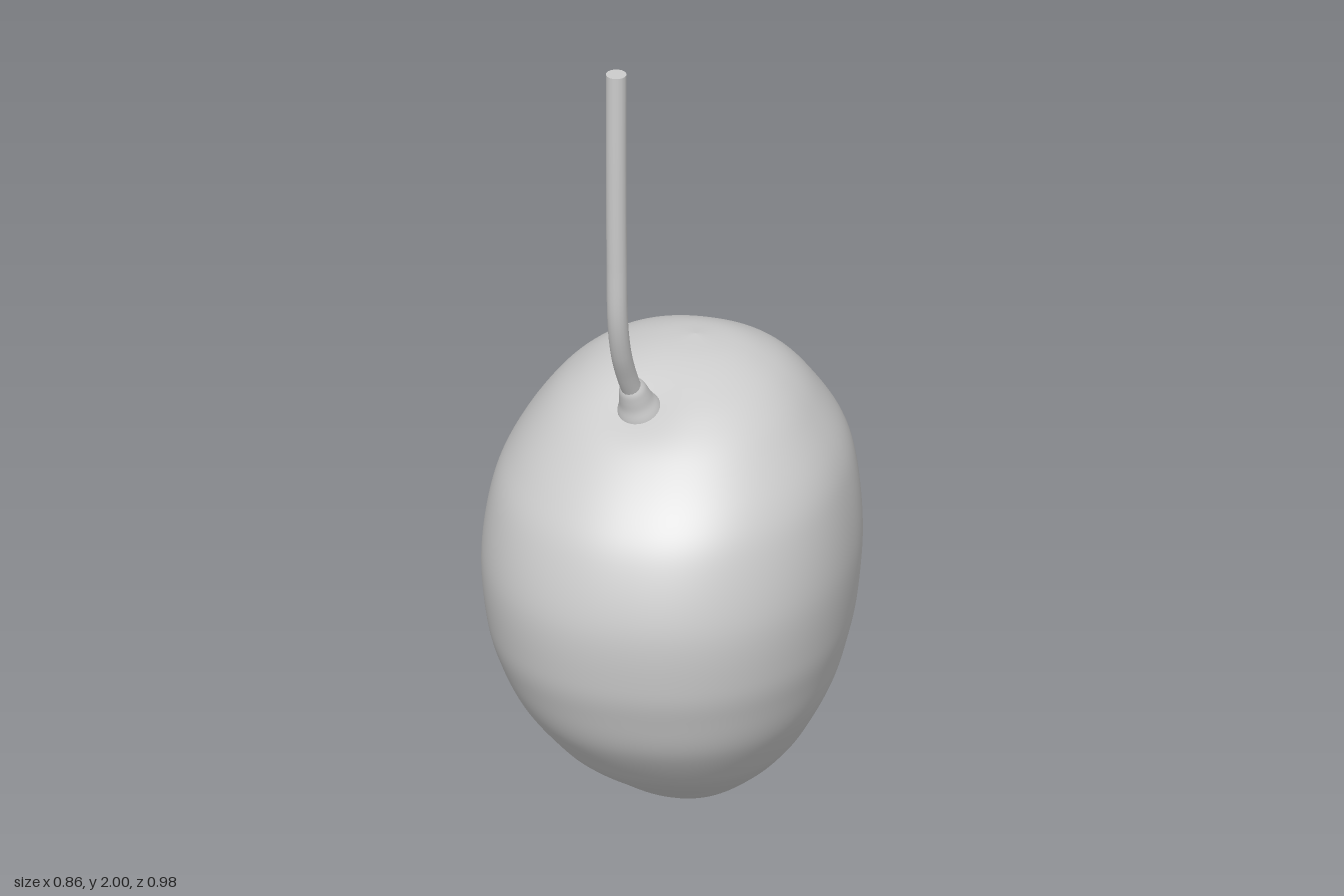
import * as THREE from 'three';

const mat = new THREE.MeshStandardMaterial({ color: 0xcccccc });

// Horizontal sections of the fruit: y, xMin, xMax, zMax (front), zMin (back)
const SECTIONS = [
  [0, 0.04, 0.04, -0.01, -0.01],
  [0.01, -0.01, 0.09, 0.06, -0.08],
  [0.045, -0.10, 0.17, 0.14, -0.18],
  [0.1, -0.18, 0.24, 0.22, -0.27],
  [0.15, -0.235, 0.285, 0.29, -0.335],
  [0.2, -0.28, 0.32, 0.345, -0.388],
  [0.3, -0.35, 0.37, 0.42, -0.435],
  [0.4, -0.395, 0.40, 0.46, -0.458],
  [0.5, -0.42, 0.42, 0.485, -0.475],
  [0.65, -0.432, 0.43, 0.49, -0.487],
  [0.8, -0.413, 0.415, 0.445, -0.475],
  [0.9, -0.37, 0.385, 0.38, -0.44],
  [1.0, -0.30, 0.32, 0.275, -0.37],
  [1.06, -0.235, 0.265, 0.185, -0.312],
  [1.1, -0.165, 0.205, 0.095, -0.25],
  [1.128, -0.07, 0.13, 0.0, -0.18],
  [1.14, 0.03, 0.03, -0.095, -0.095],
];

const bump = (dx, dy, dz, r) => Math.exp(-(dx * dx + dy * dy + dz * dz) / (r * r));

function fruitGeometry(rows = 110, cols = 120) {
  const xs = new THREE.CatmullRomCurve3(
    SECTIONS.map(([y, l, r]) => new THREE.Vector3(y, l, r)), false, 'catmullrom', 0.5);
  const zs = new THREE.CatmullRomCurve3(
    SECTIONS.map(([y, , , f, b]) => new THREE.Vector3(y, f, b)), false, 'catmullrom', 0.5);
  const pos = [], index = [];
  for (let i = 0; i <= rows; i++) {
    const { x: y, y: xl, z: xr } = xs.getPoint(i / rows);
    const { y: zf, z: zb } = zs.getPoint(i / rows);
    for (let j = 0; j < cols; j++) {
      // slightly squared ellipse
      const a = (j / cols) * Math.PI * 2, c = Math.cos(a), s = Math.sin(a), n = 2.2;
      const k = (Math.abs(c) ** n + Math.abs(s) ** n) ** (-1 / n);
      const px = (xl + xr) / 2 + c * k * (xr - xl) / 2;
      let pz = (zf + zb) / 2 + s * k * (zf - zb) / 2;
      let py = y;
      // beak low on the back, with a hollow beside and above it
      pz -= 0.014 * bump(px - 0.02, py - 0.2, pz + 0.39, 0.045);
      pz += 0.03 * bump(px + 0.13, (py - 0.31) * 0.9, (pz + 0.4) * 0.6, 0.1);
      // shallow basin around the stem
      py -= 0.018 * bump(px + 0.045, py - 1.07, pz - 0.14, 0.09);
      pos.push(px, py, pz);
      if (i < rows) {
        const j2 = (j + 1) % cols, p = i * cols, q = p + cols;
        index.push(p + j, q + j, p + j2, q + j, q + j2, p + j2);
      }
    }
  }
  const g = new THREE.BufferGeometry();
  g.setAttribute('position', new THREE.Float32BufferAttribute(pos, 3));
  g.setIndex(index);
  g.computeVertexNormals();
  return g;
}

function add(parent, name, geometry) {
  const m = new THREE.Mesh(geometry, mat);
  m.name = name;
  parent.add(m);
  return m;
}

export function createModel() {
  const group = new THREE.Group();
  group.name = 'fruitWithStem';
  add(group, 'fruitBody', fruitGeometry());

  // Stem: leans forward out of the fruit, then rises straight
  const path = new THREE.CatmullRomCurve3([
    [-0.04, 1.04, 0.135], [-0.052, 1.11, 0.165], [-0.06, 1.17, 0.195], [-0.064, 1.25, 0.233],
    [-0.065, 1.35, 0.26], [-0.065, 1.5, 0.268], [-0.065, 1.75, 0.273], [-0.065, 2, 0.273],
  ].map(p => new THREE.Vector3(...p)));
  const stem = new THREE.Group();
  stem.name = 'stem';
  group.add(stem);
  add(stem, 'stalk', new THREE.TubeGeometry(path, 60, 0.024, 16));
  const cap = add(stem, 'stalkEnd', new THREE.CircleGeometry(0.024, 16));
  cap.rotation.x = -Math.PI / 2;
  cap.position.set(-0.065, 2, 0.273);

  // Swollen collar where the stem joins the fruit
  const profile = new THREE.SplineCurve([
    [0.058, -0.03], [0.055, 0.0], [0.05, 0.02], [0.041, 0.042], [0.036, 0.065],
    [0.031, 0.085], [0.022, 0.1],
  ].map(p => new THREE.Vector2(...p))).getPoints(24);
  const collar = add(stem, 'collar', new THREE.LatheGeometry(profile, 24));
  collar.position.set(-0.042, 1.045, 0.138);
  collar.quaternion.setFromUnitVectors(
    new THREE.Vector3(0, 1, 0), new THREE.Vector3(-0.15, 1, 0.38).normalize());
  return group;
}
